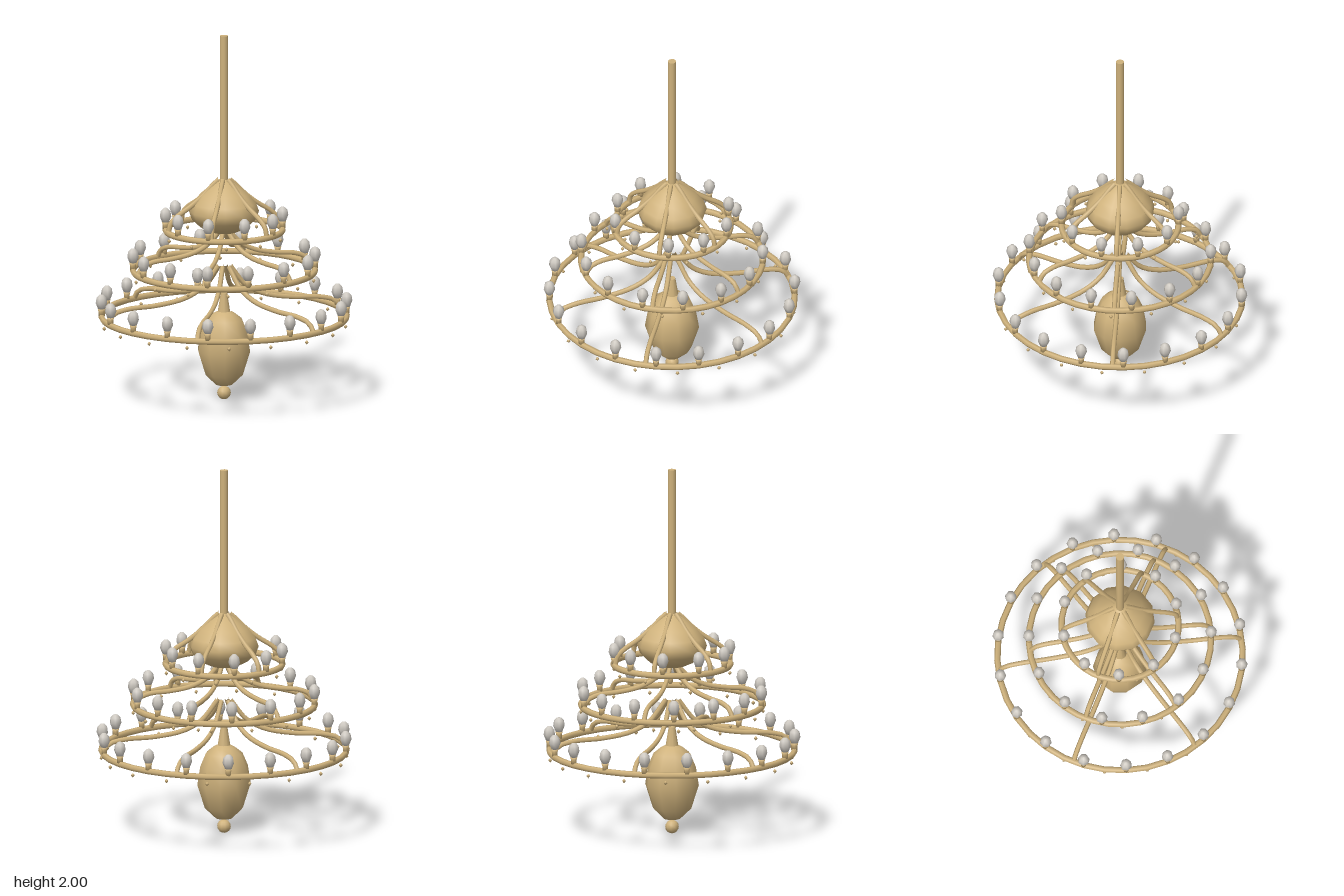
import * as THREE from 'three';

const brass = new THREE.MeshStandardMaterial({ name: 'brass', color: 0xcfb27c });
const glass = new THREE.MeshStandardMaterial({ name: 'frosted glass', color: 0xcfcac2 });

const lathe = (points, sides) =>
  new THREE.LatheGeometry(points.map(([r, y]) => new THREE.Vector2(r, y)), sides);

// Each tier: ring radius and height, lamp count, and the arm profile as [radius, height]
const tiers = [
  { name: 'lowerTier', r: 0.66, y: 0.458, lamps: 18,
    arm: [[0.035, 0.735], [0.06, 0.7], [0.12, 0.625], [0.22, 0.57], [0.38, 0.54], [0.54, 0.53], [0.625, 0.505], [0.655, 0.46]] },
  { name: 'middleTier', r: 0.49, y: 0.71, lamps: 14,
    arm: [[0.03, 0.93], [0.06, 0.89], [0.11, 0.845], [0.19, 0.81], [0.3, 0.79], [0.4, 0.78], [0.46, 0.755], [0.485, 0.712]] },
  { name: 'upperTier', r: 0.315, y: 0.932, lamps: 10,
    arm: [[0.03, 1.21], [0.06, 1.185], [0.12, 1.125], [0.19, 1.07], [0.26, 1.025], [0.3, 0.985], [0.312, 0.935]] },
];

// Lamp parts, measured up from the ring's centre line
const cupGeometry = lathe([[0, 0.008], [0.016, 0.008], [0.016, 0.03], [0.02, 0.045], [0, 0.045]], 7);
const bulbGeometry = lathe([[0, 0.04], [0.019, 0.046], [0.032, 0.078], [0.027, 0.107], [0.012, 0.122], [0, 0.125]], 7);
const dropGeometry = lathe([[0, -0.052], [0.01, -0.041], [0.007, -0.034], [0, -0.028]], 6);

function createModel() {
  const model = new THREE.Group();
  model.name = 'chandelier';

  const add = (parent, name, geometry, material = brass) => {
    const mesh = new THREE.Mesh(geometry, material);
    mesh.name = name;
    parent.add(mesh);
    return mesh;
  };
  // Place a mesh on a circle
  const onCircle = (mesh, r, y, angle) => {
    mesh.position.set(r * Math.cos(angle), y, -r * Math.sin(angle));
    mesh.rotation.y = angle;
  };

  // Hanging rod
  add(model, 'rod', new THREE.CylinderGeometry(0.022, 0.022, 0.8, 10)).position.y = 1.6;

  // Rounded body under the rod
  add(model, 'canopy', lathe([
    [0, 0.915], [0.07, 0.923], [0.13, 0.95], [0.173, 0.99], [0.188, 1.035],
    [0.172, 1.08], [0.13, 1.13], [0.075, 1.175], [0.025, 1.21], [0, 1.21],
  ], 12));

  // Faceted pendant with its tapered neck and ball finial
  add(model, 'pendant', lathe([
    [0, 0.075], [0.045, 0.082], [0.105, 0.14], [0.146, 0.27], [0.13, 0.37],
    [0.1, 0.44], [0.06, 0.472], [0.036, 0.485],
  ], 10));
  add(model, 'pendantNeck', new THREE.CylinderGeometry(0.018, 0.036, 0.11, 10)).position.y = 0.53;
  add(model, 'finial', new THREE.SphereGeometry(0.037, 10, 8)).position.y = 0.037;

  for (const { name, r, y, lamps, arm } of tiers) {
    const tier = new THREE.Group();
    tier.name = name;
    model.add(tier);

    // Ring
    const ring = add(tier, 'ring', new THREE.TorusGeometry(r, 0.017, 6, 36));
    ring.rotation.x = Math.PI / 2;
    ring.position.y = y;

    // Six curved arms
    const curve = new THREE.CatmullRomCurve3(arm.map(([ar, ay]) => new THREE.Vector3(ar, ay, 0)));
    const armGeometry = new THREE.TubeGeometry(curve, 18, 0.0135, 6);
    for (let i = 0; i < 6; i++) {
      add(tier, 'arm', armGeometry).rotation.y = Math.PI / 12 + (i * Math.PI) / 3;
    }

    // Lamps on the ring, with small drops hanging midway between them
    for (let i = 0; i < lamps; i++) {
      const angle = (i * 2 * Math.PI) / lamps;
      onCircle(add(tier, 'lampCup', cupGeometry), r, y, angle);
      onCircle(add(tier, 'bulb', bulbGeometry, glass), r, y, angle);
      onCircle(add(tier, 'drop', dropGeometry), r, y, angle + Math.PI / lamps);
    }
  }
  return model;
}

export { createModel };
